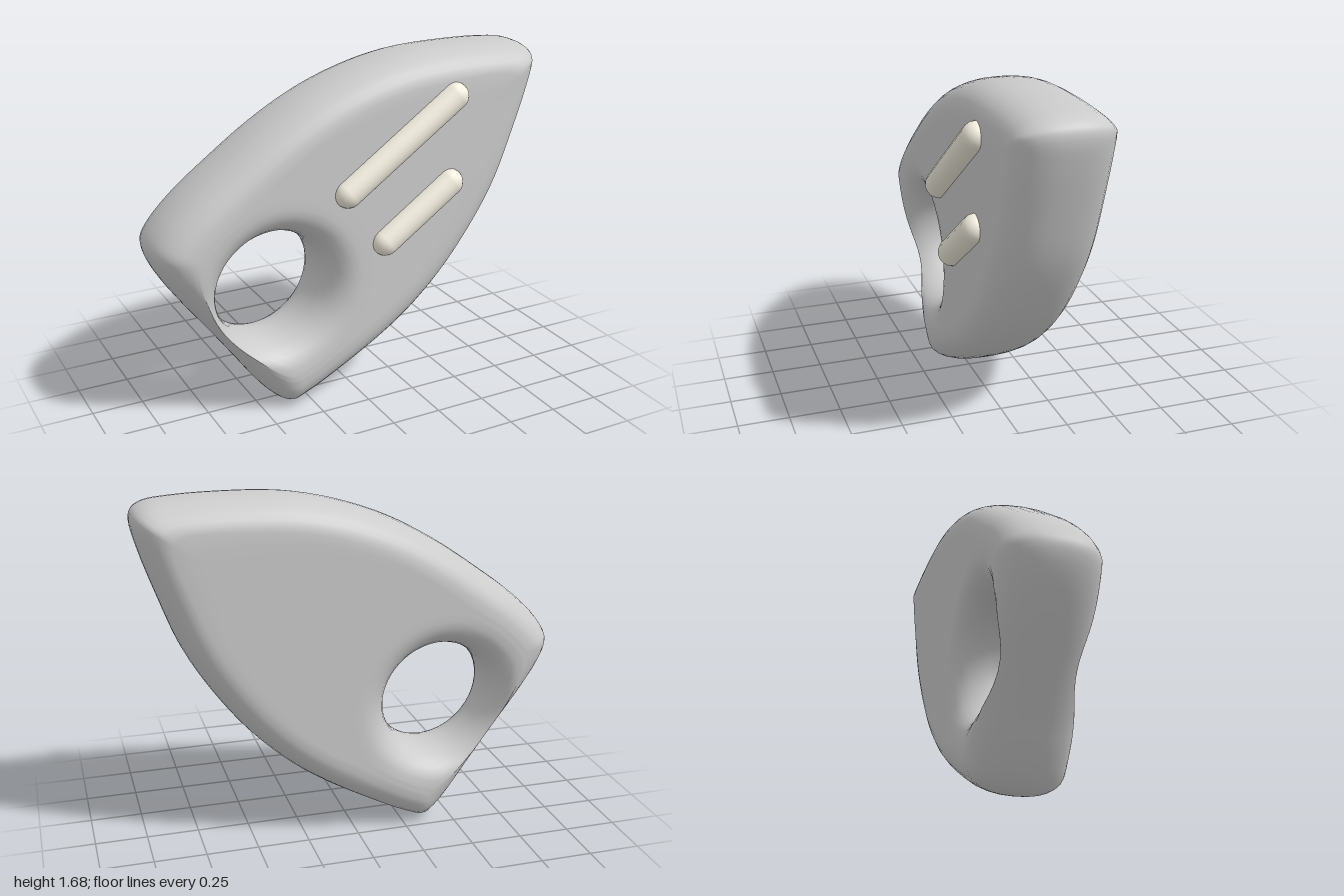
import * as THREE from 'three';

const HOLE = new THREE.Vector2(-0.435, 0.637);
const HOLE_R = 0.273;
const MID_Z = -0.035, HALF_DEPTH = 0.235, ROUNDING = 0.165;

// Outer edge, counter-clockwise from the bottom corner
const EDGE = [
  [-0.36, 0.005], [-0.26, 0.035], [-0.07, 0.13], [0.14, 0.25], [0.31, 0.37], [0.5, 0.55],
  [0.67, 0.77], [0.8, 0.99], [0.9, 1.25], [0.97, 1.46], [0.997, 1.58], [0.985, 1.63],
  [0.93, 1.665], [0.82, 1.68], [0.6, 1.687], [0.3, 1.675], [0.05, 1.625], [-0.2, 1.535],
  [-0.43, 1.41], [-0.64, 1.265], [-0.83, 1.12], [-0.95, 1.0], [-0.998, 0.92], [-0.995, 0.86],
  [-0.95, 0.76], [-0.85, 0.61], [-0.73, 0.45], [-0.6, 0.27], [-0.5, 0.13], [-0.42, 0.04],
];

function distanceToOutline(p, outline) {
  let best = Infinity;
  for (let i = 0; i < outline.length; i++) {
    const a = outline[i], b = outline[(i + 1) % outline.length];
    const dx = b.x - a.x, dy = b.y - a.y;
    const t = ((p.x - a.x) * dx + (p.y - a.y) * dy) / (dx * dx + dy * dy);
    const k = THREE.MathUtils.clamp(t, 0, 1);
    best = Math.min(best, Math.hypot(a.x + k * dx - p.x, a.y + k * dy - p.y));
  }
  return best;
}

// Half thickness grows from zero at a rim to the full flat face
function halfThickness(d) {
  const s = 1 - Math.min(1, Math.max(0, d) / ROUNDING);
  return HALF_DEPTH * Math.pow(1 - Math.pow(s, 2.4), 1 / 2.4);
}

// Slab lofted between the outer edge and the round hole
function bodyGeometry() {
  const curve = new THREE.CatmullRomCurve3(EDGE.map(([x, y]) => new THREE.Vector3(x, y, 0)), true);
  const outline = curve.getPoints(120).slice(0, -1).map((p) => new THREE.Vector2(p.x, p.y));
  const insets = [0, 0.003, 0.012, 0.028, 0.05, 0.08, 0.115, 0.15, 0.19];
  const inner = 10;
  const positions = [], index = [];
  let loop = 0;

  for (const outer of outline) {
    const dir = outer.clone().sub(HOLE).normalize();
    const hole = HOLE.clone().addScaledVector(dir, HOLE_R);
    const gap = outer.distanceTo(hole);
    const scale = Math.min(1, (gap * 0.45) / 0.19);
    const steps = insets.map((d) => d * scale);
    const first = 0.19 * scale, last = gap - first;
    for (let k = 1; k < inner; k++) steps.push(first + ((last - first) * k) / inner);
    for (let k = insets.length - 1; k >= 0; k--) steps.push(gap - insets[k] * scale);

    const section = steps.map((s, k) => {
      const p = outer.clone().addScaledVector(dir, -s);
      const rim = k === 0 || k === steps.length - 1;
      const h = rim ? 0 : halfThickness(Math.min(distanceToOutline(p, outline), gap - s));
      return [p.x, p.y, h];
    });
    // Front face inwards, then back face outwards
    section.forEach(([x, y, h]) => positions.push(x, y, MID_Z + h));
    for (let k = section.length - 2; k > 0; k--) {
      const [x, y, h] = section[k];
      positions.push(x, y, MID_Z - h);
    }
    loop = 2 * section.length - 2;
  }

  const n = outline.length;
  for (let i = 0; i < n; i++) {
    for (let j = 0; j < loop; j++) {
      const i2 = (i + 1) % n, j2 = (j + 1) % loop;
      const a = i * loop + j, b = i2 * loop + j, c = i2 * loop + j2, d = i * loop + j2;
      index.push(a, b, c, a, c, d);
    }
  }
  const geometry = new THREE.BufferGeometry();
  geometry.setAttribute('position', new THREE.Float32BufferAttribute(positions, 3));
  geometry.setIndex(index);
  geometry.computeVertexNormals();
  return geometry;
}

// Rounded bar half sunk into the front face
function bar(name, x1, y1, x2, y2, radius, material) {
  const length = Math.hypot(x2 - x1, y2 - y1);
  const mesh = new THREE.Mesh(new THREE.CapsuleGeometry(radius, length, 6, 16), material);
  mesh.name = name;
  mesh.position.set((x1 + x2) / 2, (y1 + y2) / 2, 0.2);
  mesh.rotation.z = Math.atan2(y2 - y1, x2 - x1) - Math.PI / 2;
  return mesh;
}

export function createModel() {
  const group = new THREE.Group();
  group.name = 'piercedShield';

  const grey = new THREE.MeshStandardMaterial({ color: 0xcccccc });
  const ivory = new THREE.MeshStandardMaterial({ color: 0xf3eee0 });

  const body = new THREE.Mesh(bodyGeometry(), grey);
  body.name = 'body';
  group.add(body);

  group.add(bar('upperBar', -0.09, 1.085, 0.475, 1.48, 0.067, ivory));
  group.add(bar('lowerBar', 0.11, 0.81, 0.46, 1.055, 0.067, ivory));
  return group;
}
